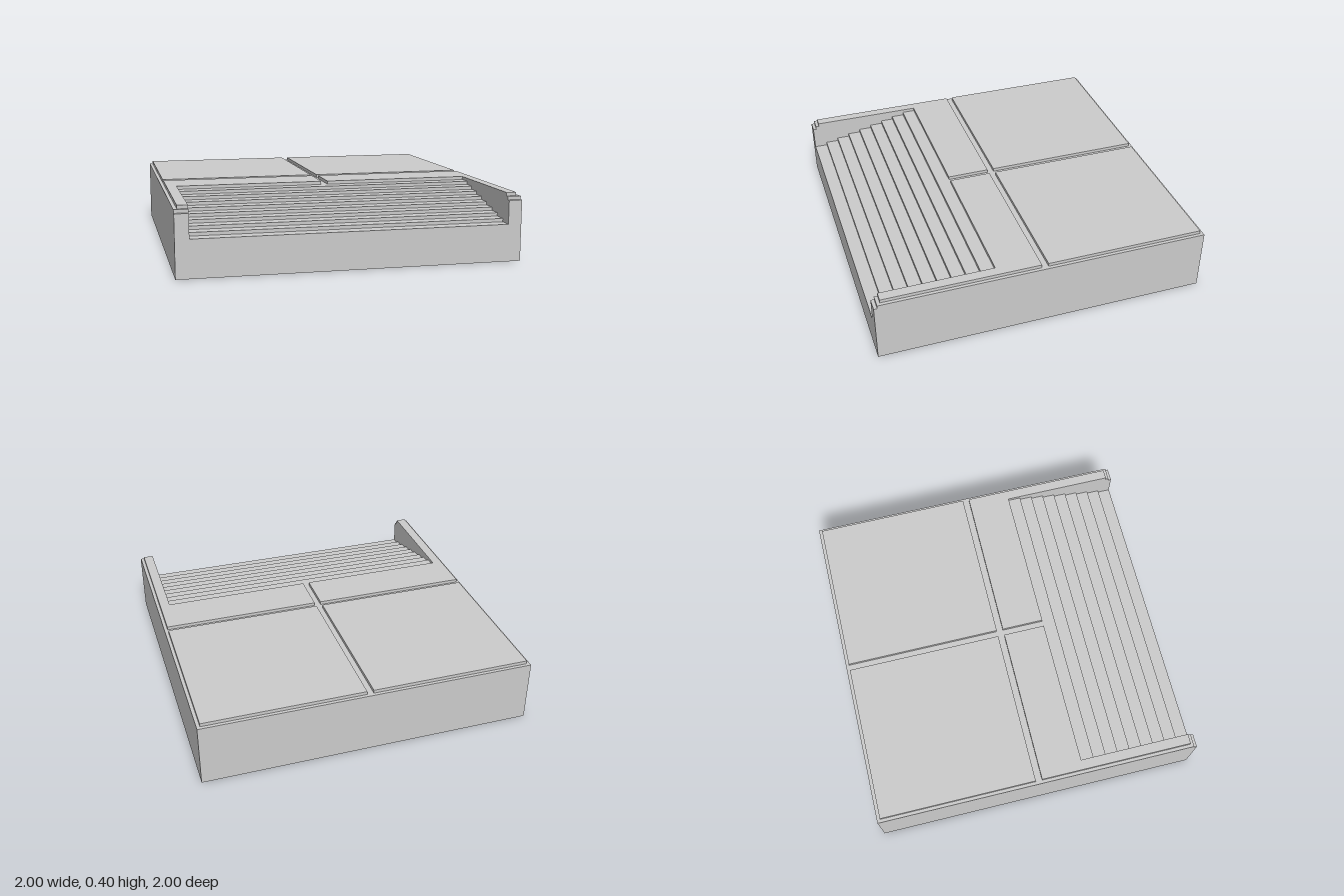
import * as THREE from 'three';

const material = new THREE.MeshStandardMaterial({ color: 0xcccccc, flatShading: true });

// Side profile of [z, y] points, extruded along x from x0 to x1
function sideProfile(name, points, x0, x1) {
  const shape = new THREE.Shape(points.map(([z, y]) => new THREE.Vector2(-z, y)));
  const geometry = new THREE.ExtrudeGeometry(shape, { depth: x1 - x0, bevelEnabled: false });
  geometry.rotateY(Math.PI / 2).translate(x0, 0, 0);
  const mesh = new THREE.Mesh(geometry, material);
  mesh.name = name;
  return mesh;
}

// Floor outline of [x, z] points, extruded upward from y0 to y1
function slab(name, points, y0, y1) {
  const shape = new THREE.Shape(points.map(([x, z]) => new THREE.Vector2(x, -z)));
  const geometry = new THREE.ExtrudeGeometry(shape, { depth: y1 - y0, bevelEnabled: false });
  geometry.rotateX(-Math.PI / 2).translate(0, y0, 0);
  const mesh = new THREE.Mesh(geometry, material);
  mesh.name = name;
  return mesh;
}

export function createModel() {
  const group = new THREE.Group();
  group.name = 'steppedPlatform';

  const baseTop = 0.38, panelTop = 0.4, inner = 0.92, stairBack = 0.28;
  const steps = 9, rise = 0.02, run = (1 - stairBack) / steps;

  // Central block with the stairs descending to the front
  const profile = [[-1, 0], [-1, baseTop]];
  for (let i = 0; i < steps; i++) {
    const y = baseTop - i * rise;
    if (i > 0) profile.push([stairBack + i * run, y]);
    profile.push([stairBack + (i + 1) * run, y]);
  }
  profile.push([1, 0]);
  group.add(sideProfile('stairBlock', profile, -inner, inner));

  // Side walls with a small notch at the front edge
  const wall = [[-1, 0], [-1, baseTop], [0.98, baseTop], [0.98, 0.36], [1, 0.36], [1, 0]];
  group.add(sideProfile('leftWall', wall, inner, 1));
  group.add(sideProfile('rightWall', wall, -1, -inner));

  // Raised paving panels: square at the back, L-shaped around the stairs at the front
  const back = [[0.02, -0.98], [0.98, -0.98], [0.98, -0.02], [0.02, -0.02]];
  const front = [[0.02, 0.02], [0.98, 0.02], [0.98, 0.96], [inner, 0.96], [inner, stairBack], [0.02, stairBack]];
  for (const [side, s] of [['left', 1], ['right', -1]]) {
    const mirror = points => points.map(([x, z]) => [s * x, z]);
    group.add(slab(side + 'BackPanel', mirror(back), baseTop, panelTop));
    group.add(slab(side + 'FrontPanel', mirror(front), baseTop, panelTop));
  }

  return group;
}
